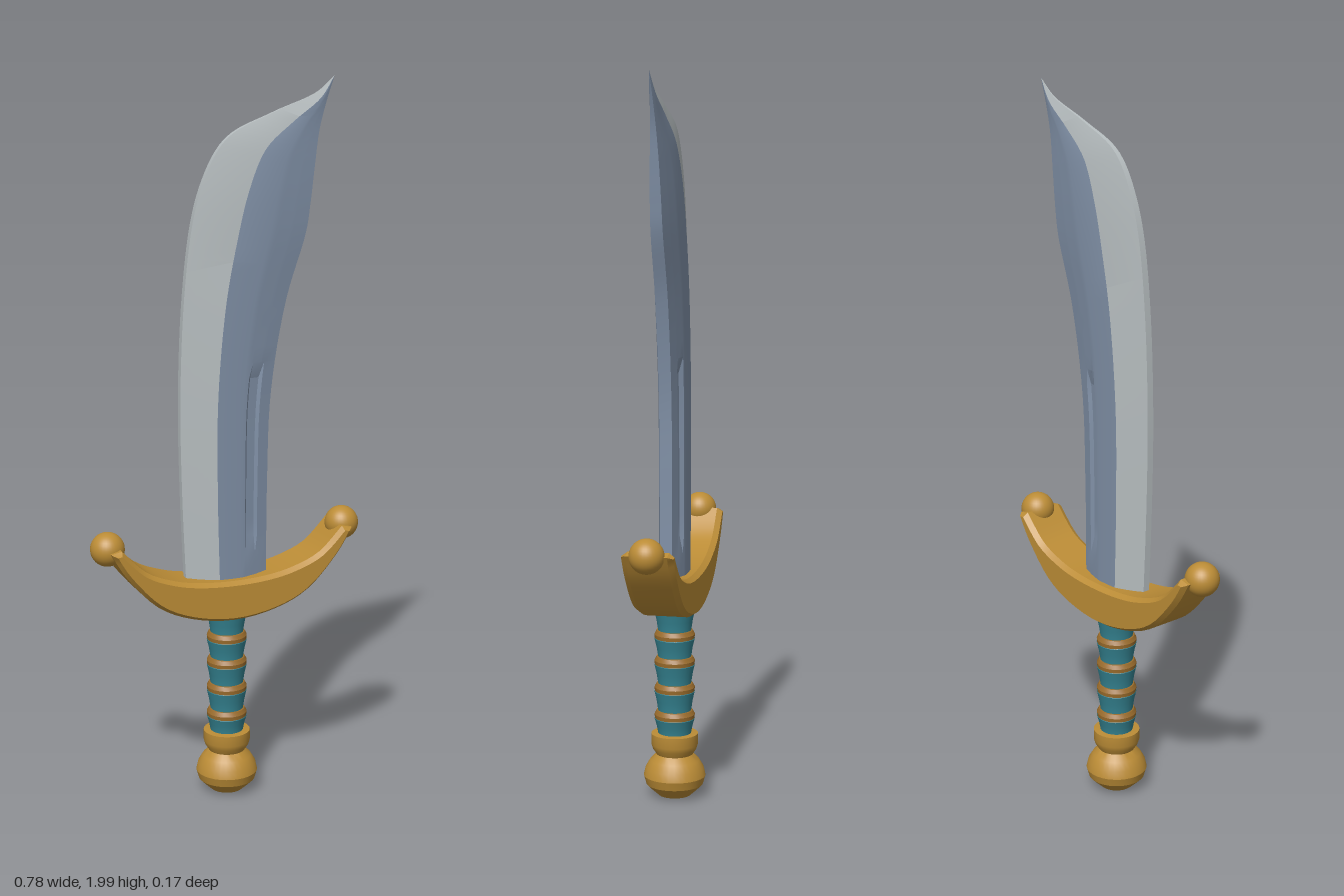
import * as THREE from 'three';
import { toCreasedNormals } from 'three/addons/utils/BufferGeometryUtils.js';

const material = (name, color, side = THREE.FrontSide) => {
  const m = new THREE.MeshStandardMaterial({ color, side });
  m.name = name;
  return m;
};
const V = (p) => new THREE.Vector3(...p);

export function createModel() {
  const gold = material('gold', 0xbb8c36);
  const bronze = material('bronze', 0x9a6c2c);
  const teal = material('teal', 0x348290);
  const steel = material('blue steel', 0x8090a6);
  const honed = material('honed edge', 0xb6bdbf);

  const model = new THREE.Group();
  const add = (name, geometry, mat, x = 0, y = 0, z = 0) => {
    const mesh = new THREE.Mesh(geometry, mat);
    mesh.name = name;
    mesh.position.set(x, y, z);
    model.add(mesh);
    return mesh;
  };
  const lathe = (points, sides = 32, crease = 0.5) =>
    toCreasedNormals(new THREE.LatheGeometry(points.map((p) => new THREE.Vector2(...p)), sides), crease);

  // Blade: cutting edge and spine curves; z of the edge curve holds the thickness factor
  const edge = new THREE.CatmullRomCurve3([
    [-0.122, 0.6, 1], [-0.134, 0.9, 1], [-0.137, 1.15, 1], [-0.125, 1.42, 1], [-0.1, 1.62, 0.95],
    [-0.068, 1.73, 0.88], [-0.005, 1.835, 0.7], [0.13, 1.9, 0.42], [0.25, 1.945, 0.2], [0.307, 1.99, 0],
  ].map(V));
  const spine = new THREE.CatmullRomCurve3([
    [0.11, 0.6, 0], [0.112, 0.9, 0], [0.122, 1.15, 0], [0.165, 1.4, 0], [0.222, 1.58, 0],
    [0.235, 1.66, 0], [0.248, 1.76, 0], [0.262, 1.85, 0], [0.282, 1.92, 0], [0.307, 1.99, 0],
  ].map(V));
  // Cross-section: [position from edge to spine, half thickness, groove depth]
  const section = [
    [0, 0.01, 0], [0.38, 0.037, 0], [0.66, 0.037, 0], [0.71, 0.035, 0],
    [0.74, 0.033, 0.01], [0.84, 0.028, 0.01], [0.87, 0.026, 0], [1, 0.017, 0],
  ];
  const rows = 54, n = section.length;
  const positions = [];
  for (let i = 0; i <= rows; i++) {
    const u = i / rows;
    const e = edge.getPoint(u), s = spine.getPoint(u);
    const k = Math.max(e.z, 0);
    const groove = e.y > 0.73 && e.y < 1.22 ? 1 : 0;
    const ring = section.map(([t, h, g], j) => {
      const f = j === 1 ? t + 0.15 * u ** 4 : t;
      return [e.x + (s.x - e.x) * f, e.y + (s.y - e.y) * f, (h - g * groove) * k];
    });
    for (const p of ring) positions.push(...p);
    for (const [x, y, z] of ring.reverse()) positions.push(x, y, -z);
  }
  const bladeGeometry = new THREE.BufferGeometry();
  bladeGeometry.setAttribute('position', new THREE.Float32BufferAttribute(positions, 3));
  const index = [], around = 2 * n;
  for (let j = 0; j < around; j++) {
    const start = index.length, next = (j + 1) % around;
    for (let i = 0; i < rows; i++) {
      const a = i * around + j, b = i * around + next;
      index.push(a, b, b + around);
      if (i < rows - 1) index.push(a, b + around, a + around);
    }
    const isHoned = j === 0 || j >= around - 2;
    bladeGeometry.addGroup(start, index.length - start, isHoned ? 1 : 0);
  }
  bladeGeometry.setIndex(index);
  add('blade', toCreasedNormals(bladeGeometry, 0.22), [steel, honed]);

  // Crescent guard with chamfered rims
  const lower = [[-0.352, 0.75], [-0.307, 0.677], [-0.222, 0.587], [-0.122, 0.54], [0, 0.522]];
  const upper = [[0, 0.635], [-0.095, 0.64], [-0.175, 0.656], [-0.254, 0.69], [-0.322, 0.757]];
  const mirrored = (pts) => pts.slice().reverse().map(([x, y]) => [-x, y]);
  const smooth = (pts) => new THREE.SplineCurve(pts.map((p) => new THREE.Vector2(...p))).getPoints(32);
  const under = smooth([...lower, ...mirrored(lower).slice(1)]);
  const over = smooth([...mirrored(upper), ...upper.slice(1)]);
  const guard = new THREE.ExtrudeGeometry(new THREE.Shape([...under, ...over]), {
    depth: 0.11, bevelEnabled: true, bevelThickness: 0.015, bevelSize: 0.01, bevelOffset: -0.01, bevelSegments: 1,
  });
  guard.translate(0, 0, -0.055);
  add('guard', toCreasedNormals(guard, 0.4), gold);
  for (const side of [-1, 1]) {
    add(side > 0 ? 'leftGuardBall' : 'rightGuardBall', new THREE.SphereGeometry(0.047, 32, 20), gold, side * 0.345, 0.75);
  }

  // Grip: waisted wraps between bronze rings
  const rings = [0.235, 0.312, 0.388, 0.462];
  const stops = [0.17, ...rings, 0.54];
  const gripProfile = [];
  for (let i = 0; i < stops.length - 1; i++) {
    const a = stops[i], b = stops[i + 1];
    gripProfile.push([0.046, a], [0.046, a + 0.012], [0.05, (a + b) / 2], [0.056, b - 0.012]);
  }
  gripProfile.push([0.058, 0.54]);
  add('grip', lathe(gripProfile, 24), teal);
  rings.forEach((y, i) => add(`gripRing${i + 1}`, lathe([
    [0.044, y - 0.012], [0.055, y - 0.011], [0.056, y], [0.05, y + 0.011], [0.044, y + 0.012],
  ], 24), bronze));

  // Collar and pommel
  add('collar', lathe([
    [0.045, 0.11], [0.05, 0.12], [0.061, 0.137], [0.065, 0.15], [0.065, 0.18], [0.04, 0.182],
  ]), gold);
  add('pommel', lathe([
    [0, 0], [0.045, 0.004], [0.066, 0.023], [0.079, 0.036], [0.086, 0.06],
    [0.081, 0.082], [0.068, 0.104], [0.05, 0.122], [0, 0.124],
  ]), gold);

  return model;
}
